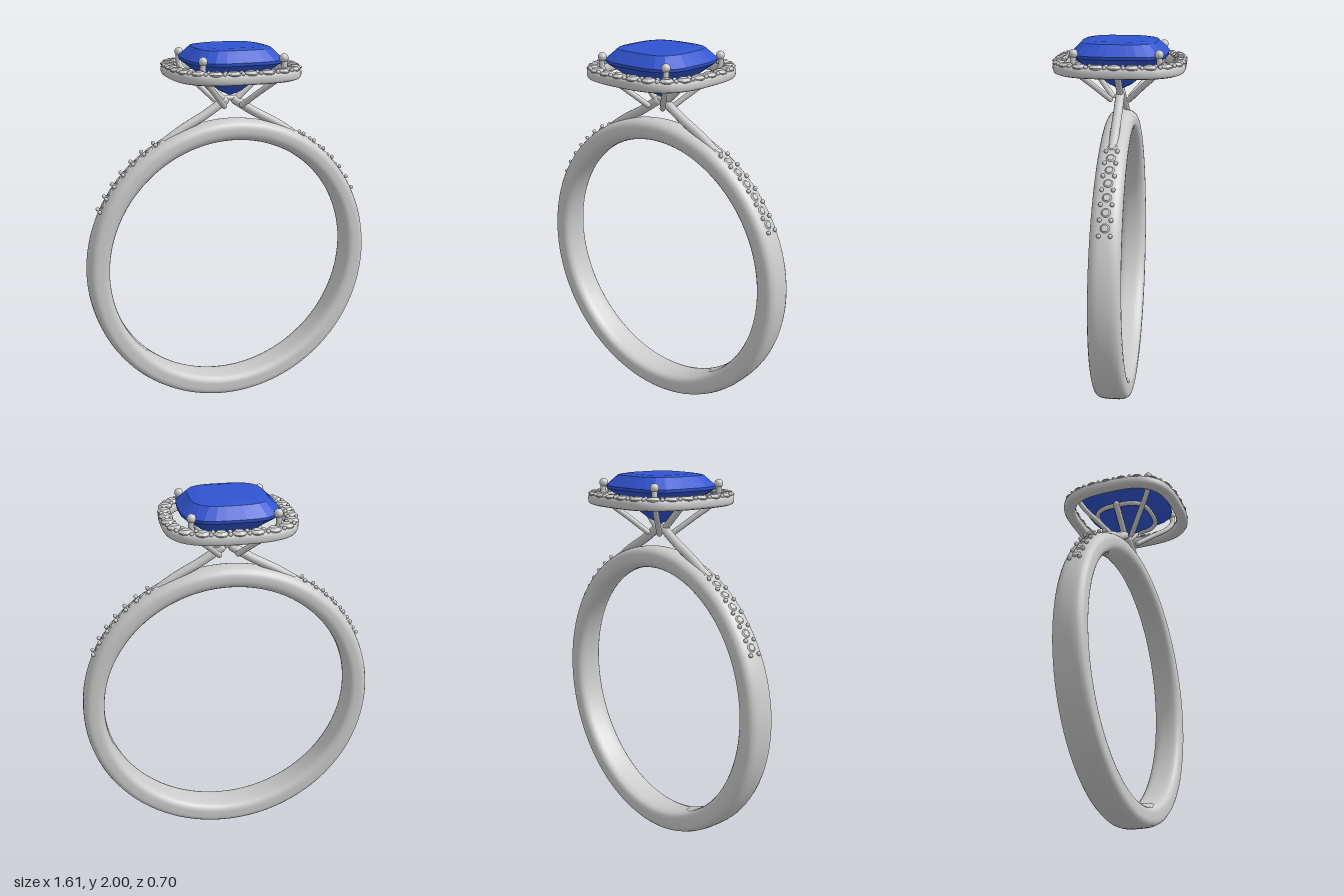
import * as THREE from 'three';
import { ParametricGeometry } from 'three/addons/geometries/ParametricGeometry.js';

const metal = new THREE.MeshStandardMaterial({ color: 0xcccccc });
const paveStone = new THREE.MeshStandardMaterial({ color: 0xcccccc, flatShading: true });
const blueStone = new THREE.MeshStandardMaterial({ color: 0x3054d0, flatShading: true });

const V = (x, y, z) => new THREE.Vector3(x, y, z);
const TAU = Math.PI * 2;

// Unit superellipse: n = 2 is a circle, larger n is squarer
function squircle(angle, n) {
  const c = Math.cos(angle), s = Math.sin(angle);
  const k = (Math.abs(c) ** n + Math.abs(s) ** n) ** (-1 / n);
  return [c * k, s * k];
}

function add(parent, name, geometry, material = metal) {
  const mesh = new THREE.Mesh(geometry, material);
  mesh.name = name;
  parent.add(mesh);
  return mesh;
}

function bead(parent, name, position, radius, w = 10, h = 8) {
  add(parent, name, new THREE.SphereGeometry(radius, w, h)).position.copy(position);
}

// Round wire through points, with rounded ends
function wire(parent, name, points, radius) {
  const curve = new THREE.CatmullRomCurve3(points);
  add(parent, name, new THREE.TubeGeometry(curve, 24, radius, 12));
  bead(parent, name + 'Start', points[0], radius, 12, 8);
  bead(parent, name + 'End', points[points.length - 1], radius, 12, 8);
}

// Closed rounded-square path at height y
function squarePath(size, n, y) {
  const points = [];
  for (let i = 0; i < 64; i++) {
    const [c, s] = squircle((i / 64) * TAU, n);
    points.push(V(s * size, y, c * size));
  }
  return new THREE.CatmullRomCurve3(points, true);
}

// Small round cut stone, girdle at its origin, facing +y
function smallStone(radius) {
  const profile = [[0, -0.6], [1, -0.1], [1, 0.05], [0.6, 0.4], [0, 0.4]];
  return new THREE.LatheGeometry(profile.map(([r, y]) => new THREE.Vector2(r * radius, y * radius)), 10);
}

const CENTRE = 0.806, MID = 0.748;

// Band: wider and squarer at the bottom, narrower and rounder at the top
function makeShank() {
  return new ParametricGeometry((u, v, p) => {
    const a = u * TAU, up = Math.cos(a);
    const [c, s] = squircle(v * TAU, 3.1 - 0.6 * up);
    const r = MID + 0.058 * c;
    p.set(r * Math.sin(a), CENTRE + r * up, -s * (0.082 - 0.01 * up));
  }, 128, 32);
}

// Cushion-cut stone lofted from rounded-square levels [half size, y, squareness]
function makeCentreStone() {
  const levels = [
    [0, 1.735, 2.5], [0.06, 1.765, 2.5], [0.155, 1.845, 2.8], [0.25, 1.922, 3.4],
    [0.252, 1.937, 3.4], [0.195, 1.992, 3.4], [0.15, 2, 3.8], [0, 2, 3.8],
  ];
  return new ParametricGeometry((u, v, p) => {
    const i = Math.min(Math.max(Math.floor(v * 7 + 1e-6), 0), 6);
    const f = v * 7 - i;
    const [size, y, n] = levels[i].map((x, k) => x + (levels[i + 1][k] - x) * f);
    const [c, s] = squircle(u * TAU, n);
    p.set(s * size, y, c * size);
  }, 32, 7);
}

// Rounded-square halo rim
function makeHalo() {
  return new ParametricGeometry((u, v, p) => {
    const [c, s] = squircle(u * TAU, 3);
    const [out, up] = squircle(v * TAU, 3);
    const size = 0.312 + 0.032 * out;
    p.set(s * size, 1.867 + 0.028 * up, c * size);
  }, 96, 16);
}

export function createModel() {
  const ring = new THREE.Group();
  ring.name = 'ring';

  add(ring, 'shank', makeShank());
  add(ring, 'centreStone', makeCentreStone(), blueStone);

  // Halo with stones and the setting beads between them
  const halo = new THREE.Group();
  halo.name = 'halo';
  ring.add(halo);
  add(halo, 'haloRim', makeHalo());
  const path = squarePath(0.312, 3, 1.893);
  const haloStone = smallStone(0.037);
  const COUNT = 24;
  for (let i = 0; i < COUNT; i++) {
    add(halo, 'haloStone', haloStone, paveStone).position.copy(path.getPointAt(i / COUNT));
    const between = path.getPointAt((i + 0.5) / COUNT);
    for (const k of [0.94, 1.06]) bead(halo, 'haloBead', V(between.x * k, 1.897, between.z * k), 0.011);
  }

  // Basket: four corner prongs with ball tips, under-rail and side struts
  const basket = new THREE.Group();
  basket.name = 'basket';
  ring.add(basket);
  for (const x of [-1, 1]) {
    for (const z of [-1, 1]) {
      const at = (d, y) => V(x * d, y, z * d);
      wire(basket, 'prong', [at(0.05, 1.69), at(0.12, 1.765), at(0.19, 1.84), at(0.216, 1.89), at(0.216, 1.945)], 0.015);
      bead(basket, 'prongTip', at(0.215, 1.948), 0.023, 16, 12);
    }
    wire(basket, 'sideStrut', [V(x * 0.04, 1.72, 0), V(x * 0.1, 1.775, 0), V(x * 0.17, 1.84, 0)], 0.018);
  }
  wire(basket, 'crossBar', [V(-0.05, 1.722, 0), V(0.05, 1.722, 0)], 0.014);
  add(basket, 'underRail', new THREE.TubeGeometry(squarePath(0.16, 3, 1.838), 64, 0.013, 10, true));

  // Shoulders: arms rising from the band, and a row of set stones on each side
  const shoulderStone = smallStone(0.028);
  for (const side of [-1, 1]) {
    const shoulder = new THREE.Group();
    shoulder.name = side > 0 ? 'leftShoulder' : 'rightShoulder';
    ring.add(shoulder);
    wire(shoulder, 'arm', [V(side * 0.36, 1.51, 0), V(side * 0.26, 1.575, 0), V(side * 0.14, 1.64, 0), V(side * 0.03, 1.71, 0)], 0.024);

    const onBand = (degrees, r, z) => {
      const a = THREE.MathUtils.degToRad(degrees) * side;
      return V(r * Math.sin(a), CENTRE + r * Math.cos(a), z);
    };
    for (let i = 0; i < 7; i++) {
      const stoneAngle = 28.3 + i * 5.4;
      const stone = add(shoulder, 'shoulderStone', shoulderStone, paveStone);
      stone.position.copy(onBand(stoneAngle, 0.8, 0));
      stone.rotation.z = -side * THREE.MathUtils.degToRad(stoneAngle);
      for (const z of [-0.028, 0.028]) bead(shoulder, 'shoulderBead', onBand(31 + i * 5.4, 0.814, z), 0.011);
    }
  }
  return ring;
}
